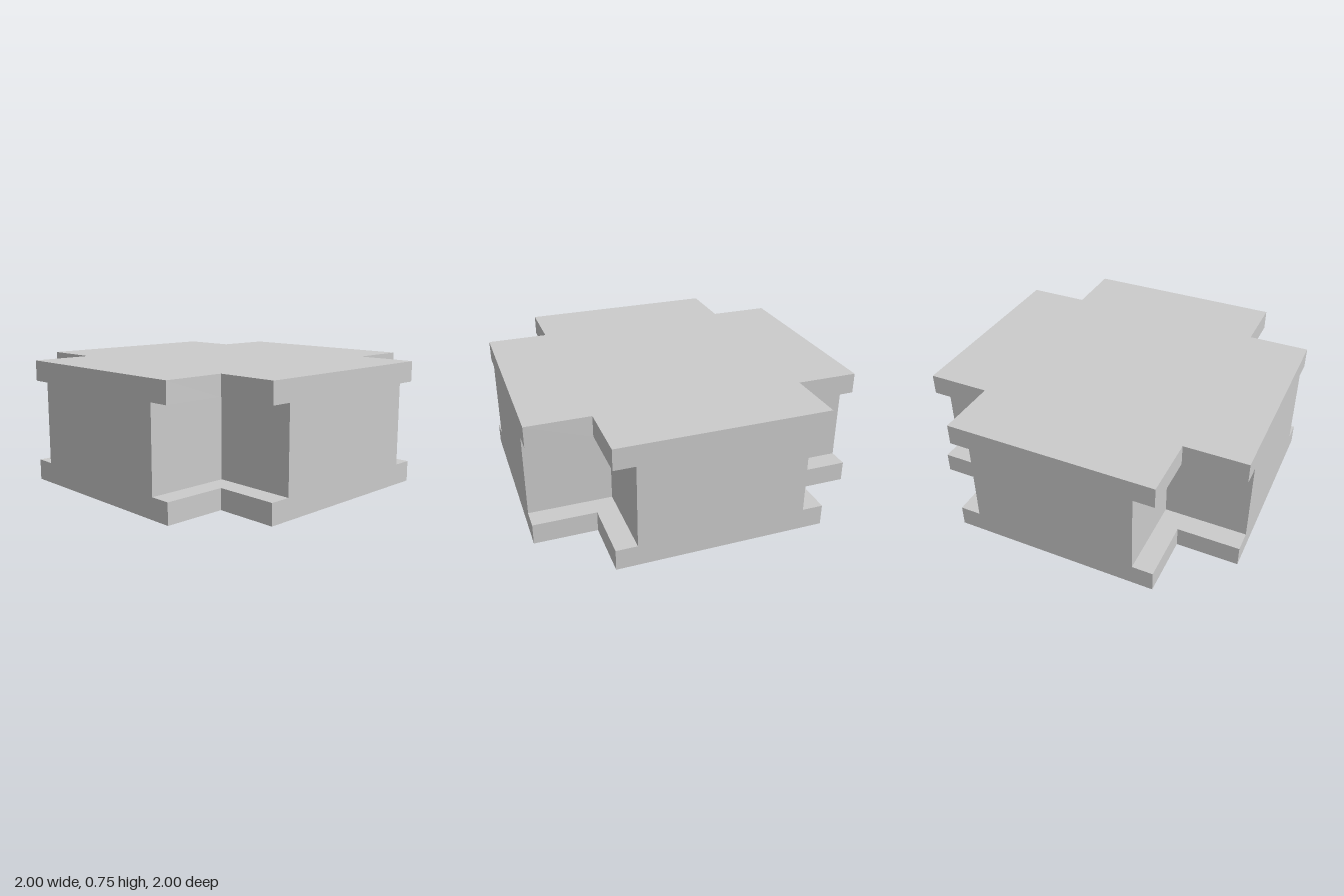
import * as THREE from 'three';

const material = new THREE.MeshStandardMaterial({ color: 0xcccccc, flatShading: true });

// Plus-shaped slab reaching 1 unit each way, with arms of the given half width
function crossSlab(name, arm, bottom, height) {
  const shape = new THREE.Shape();
  for (let i = 0; i < 4; i++) {
    const c = Math.round(Math.cos(i * Math.PI / 2));
    const s = Math.round(Math.sin(i * Math.PI / 2));
    for (const [x, y] of [[1, -arm], [1, arm], [arm, arm]]) {
      const px = x * c - y * s, py = x * s + y * c;
      if (shape.curves.length === 0 && i === 0 && y === -arm) shape.moveTo(px, py);
      else shape.lineTo(px, py);
    }
  }
  shape.closePath();
  const geometry = new THREE.ExtrudeGeometry(shape, { depth: height, bevelEnabled: false });
  geometry.rotateX(-Math.PI / 2);
  const mesh = new THREE.Mesh(geometry, material);
  mesh.name = name;
  mesh.position.y = bottom;
  return mesh;
}

export function createModel() {
  const group = new THREE.Group();
  group.name = 'crossBlock';
  // Narrower core between two plates leaves deeper pockets at the corners
  group.add(
    crossSlab('bottomPlate', 0.625, 0, 0.125),
    crossSlab('core', 0.5, 0.125, 0.5),
    crossSlab('topPlate', 0.625, 0.625, 0.125),
  );
  return group;
}
